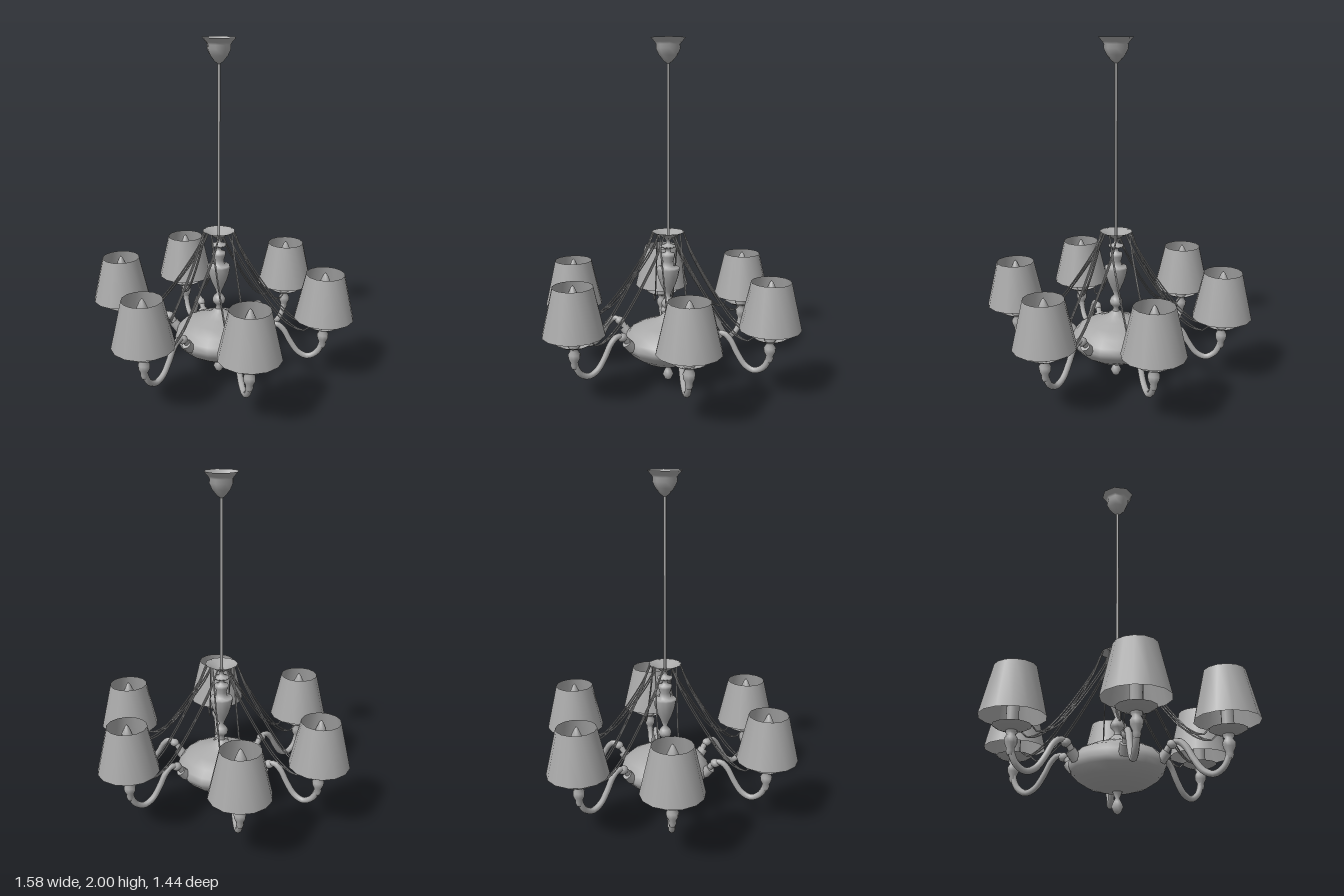
import * as THREE from 'three';

const grey = new THREE.MeshStandardMaterial({ color: 0xa8a8a8, side: THREE.DoubleSide });
grey.name = 'brushedGrey';

function part(name, geometry, parent) {
  const mesh = new THREE.Mesh(geometry, grey);
  mesh.name = name;
  parent.add(mesh);
  return mesh;
}

// Turned part from [radius, height] pairs listed bottom to top
function turned(name, pairs, sides, parent) {
  const points = pairs.map(([r, y]) => new THREE.Vector2(r, y));
  return part(name, new THREE.LatheGeometry(points, sides), parent);
}

// Round bar through a list of [x, y, z] points
function bar(name, pts, radius, steps, sides, parent) {
  const curve = new THREE.CatmullRomCurve3(pts.map((p) => new THREE.Vector3(...p)));
  return part(name, new THREE.TubeGeometry(curve, steps, radius, sides), parent);
}

// One branch along +x: arm, collars, saucer, candle, shade and support strands
function createBranch() {
  const branch = new THREE.Group();
  const reach = 0.622;

  bar('arm', [
    [0.235, 0.245, 0], [0.27, 0.285, 0], [0.31, 0.335, 0], [0.35, 0.347, 0], [0.39, 0.315, 0],
    [0.43, 0.245, 0], [0.48, 0.178, 0], [0.535, 0.155, 0], [0.585, 0.18, 0],
    [0.612, 0.225, 0], [reach, 0.28, 0],
  ], 0.018, 32, 8, branch);

  // Collar and bead where the arm meets the bowl
  const collar = part('armCollar', new THREE.CylinderGeometry(0.03, 0.03, 0.06, 8), branch);
  collar.position.set(0.268, 0.275, 0);
  collar.rotation.z = -0.72;
  const bead = part('armBead', new THREE.SphereGeometry(0.026, 8, 6), branch);
  bead.position.set(0.315, 0.335, 0);
  bead.scale.set(1.2, 1, 1);

  const lamp = new THREE.Group();
  lamp.name = 'lamp';
  lamp.position.x = reach;
  branch.add(lamp);
  turned('lampSocket', [
    [0.014, 0.22], [0.022, 0.24], [0.02, 0.255], [0.032, 0.28], [0.034, 0.305],
    [0.022, 0.325], [0.03, 0.335], [0.03, 0.35],
  ], 10, lamp);
  turned('saucer', [[0.0, 0.342], [0.04, 0.345], [0.075, 0.356], [0.102, 0.372]], 12, lamp);
  const candle = part('candle', new THREE.CylinderGeometry(0.034, 0.034, 0.15, 8), lamp);
  candle.position.y = 0.425;
  turned('bulb', [
    [0.02, 0.5], [0.036, 0.54], [0.04, 0.59], [0.03, 0.64], [0.012, 0.68], [0, 0.695],
  ], 8, lamp);
  turned('shade', [[0.174, 0.415], [0.112, 0.685]], 14, lamp);

  // Paired strands on each side, sweeping from the crown to the saucer rim
  for (const side of [-1, 1]) {
    for (const drop of [0, 0.02]) {
      bar('strand', [
        [0.065, 0.91, side * 0.06], [0.12, 0.8 - drop, side * 0.059],
        [0.2, 0.67 - drop, side * 0.058], [0.29, 0.54 - drop, side * 0.057],
        [0.38, 0.43 - drop, side * 0.056], [0.46, 0.365 - drop / 2, side * 0.055],
        [0.51, 0.345, side * 0.056], [0.542, 0.37, side * 0.06],
      ], 0.004, 20, 5, branch);
    }
  }
  return branch;
}

export function createModel() {
  const model = new THREE.Group();
  model.name = 'chandelier';
  const axis = new THREE.Group();
  axis.name = 'centredParts';
  axis.position.z = -0.008;
  model.add(axis);

  // Central column from finial to crown
  turned('finial', [
    [0, 0.0], [0.02, 0.012], [0.033, 0.04], [0.022, 0.065], [0.012, 0.085], [0.024, 0.11], [0.03, 0.125],
  ], 10, axis);
  turned('bowl', [
    [0.02, 0.118], [0.09, 0.124], [0.155, 0.142], [0.215, 0.18], [0.252, 0.22], [0.265, 0.25],
    [0.255, 0.285], [0.22, 0.325], [0.16, 0.355], [0.095, 0.378], [0.05, 0.4], [0.022, 0.425],
  ], 16, axis);
  turned('column', [
    [0.022, 0.42], [0.016, 0.445], [0.036, 0.465], [0.04, 0.485], [0.03, 0.505], [0.013, 0.525],
    [0.025, 0.555], [0.045, 0.6], [0.06, 0.645], [0.068, 0.69], [0.064, 0.7], [0.034, 0.705],
    [0.03, 0.735], [0.04, 0.765], [0.04, 0.782], [0.015, 0.79], [0.014, 0.81], [0.044, 0.82],
    [0.044, 0.83], [0.014, 0.84], [0.012, 0.86], [0.03, 0.875],
  ], 12, axis);
  turned('crown', [[0.008, 0.868], [0.035, 0.878], [0.06, 0.895], [0.095, 0.912]], 12, axis);

  // Hanging rod and ceiling cup
  const rod = part('rod', new THREE.CylinderGeometry(0.008, 0.008, 1.06, 8), axis);
  rod.position.y = 1.37;
  turned('ceilingCup', [
    [0.008, 1.86], [0.025, 1.872], [0.052, 1.905], [0.068, 1.94], [0.066, 1.962], [0.075, 1.975], [0.097, 2.0],
  ], 8, axis);

  // Six slightly uneven branches, angles measured from +x towards +z
  [-5.1, 60.1, 115.7, 180.9, 234.1, 299.2].forEach((degrees, i) => {
    const branch = createBranch();
    branch.name = `branch${i + 1}`;
    branch.rotation.y = -THREE.MathUtils.degToRad(degrees);
    axis.add(branch);
  });
  return model;
}
